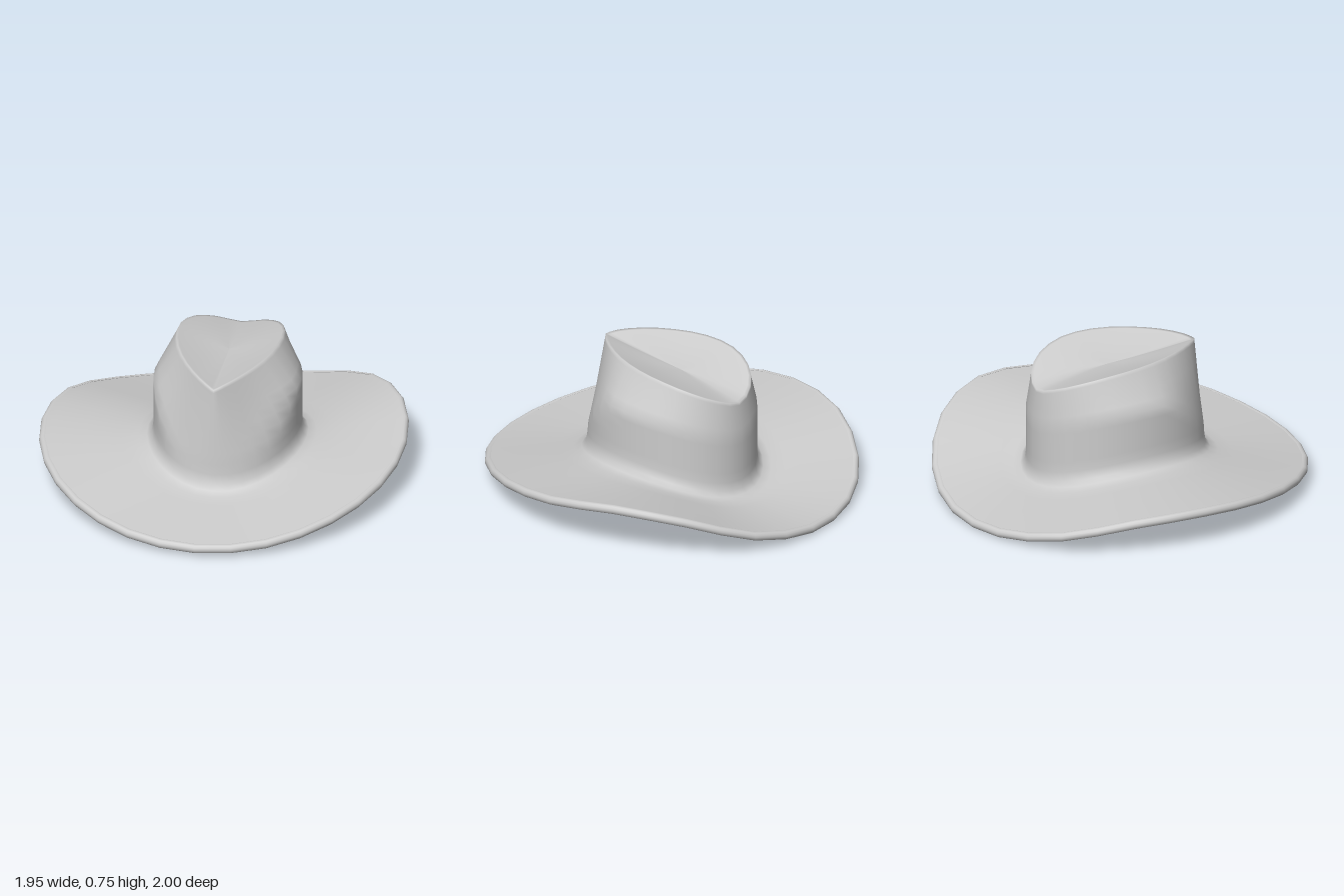
import * as THREE from 'three';

const N = 32; // columns around the hat; angle 0 is the front (+z), growing toward +x
const { lerp, smoothstep, clamp } = THREE.MathUtils;

// Heights around a loop, one value every 22.5 degrees
const EDGE_Y = [.04, .06, .115, .175, .23, .275, .225, .1, .03, .03, .09, .18, .2, .165, .11, .06];
const RIM_HALF = [.69, .705, .72, .73, .735, .725, .69, .64, .6];
const RIM_Y = [...RIM_HALF, ...RIM_HALF.slice(1, 8).reverse()];

// Smooth periodic interpolation of such a list
function around(list, a) {
  const n = list.length, f = a / (2 * Math.PI) * n, i = Math.floor(f), t = f - i;
  const [p, q, r, s] = [-1, 0, 1, 2].map(k => list[(i + k + n) % n]);
  return q + .5 * t * (r - p + t * (2 * p - 5 * q + 4 * r - s + t * (3 * (q - r) + s - p)));
}

const baseY = a => .09 + .015 * Math.cos(a) + .095 * Math.sin(a) ** 2;
const base = a => new THREE.Vector3(.015 + .39 * Math.sin(a), baseY(a), -.02 + .49 * Math.cos(a));

// Teardrop rim of the crown, pointed at the front
const rim = a => new THREE.Vector3(
  .012 + .335 * Math.sin(a) * Math.sin(a / 2) ** .6, around(RIM_Y, a), -.02 + .47 * Math.cos(a));

// Point on the rolled brim edge, shrunk inward by inset
const edge = (a, inset) => new THREE.Vector3(
  -.003 + (.975 - inset) * Math.sin(a), around(EDGE_Y, a), (1 - inset) * Math.cos(a));

// Sunken top panel: s runs from the centre to the rim
const topRing = s => a => {
  const r = rim(a);
  return new THREE.Vector3(lerp(.012, r.x, s), lerp(.655, r.y, s ** 1.4), lerp(-.08, r.z, s));
};

// Crown wall: h runs from the base oval to the rim; the pinch starts lower at the front
const wallRing = h => a => {
  const b = base(a), r = rim(a);
  const off = Math.min(a, 2 * Math.PI - a);
  const start = lerp(.2, .64, smoothstep(off, .5, 1.4));
  const w = clamp((h - start) / (1 - start), 0, 1);
  return new THREE.Vector3(lerp(b.x, r.x, w), lerp(b.y, r.y, h), lerp(b.z, r.z, w));
};

// Brim: t runs from the crown to the rolled edge, lift shapes the fillet
const brimRing = (t, lift = 0) => a => {
  const p = base(a).lerp(edge(a, .022), t);
  p.y += lift;
  return p;
};

// Skin between consecutive rings, listed outward
function skin(name, rings, material) {
  const pos = [], index = [];
  rings.forEach((ring, i) => {
    for (let j = 0; j < N; j++) {
      pos.push(...ring(j / N * 2 * Math.PI).toArray());
      if (i === 0) continue;
      const k = (j + 1) % N, o = (i - 1) * N;
      index.push(o + j, o + N + j, o + N + k, o + j, o + N + k, o + k);
    }
  });
  const geometry = new THREE.BufferGeometry();
  geometry.setAttribute('position', new THREE.Float32BufferAttribute(pos, 3));
  geometry.setIndex(index);
  geometry.computeVertexNormals();
  const mesh = new THREE.Mesh(geometry, material);
  mesh.name = name;
  return mesh;
}

// Shift a ring vertically and shrink it about the crown axis
const offset = (ring, dy, scale = 1) => a => {
  const p = ring(a);
  return p.set(.012 + (p.x - .012) * scale, p.y + dy, -.02 + (p.z + .02) * scale);
};

export function createModel() {
  const group = new THREE.Group();
  group.name = 'hat';
  const felt = new THREE.MeshStandardMaterial({ color: 0xcccccc, side: THREE.DoubleSide });

  const crown = [
    ...[.001, .3, .6, .85, .96].map(topRing),
    ...[1, .97, .9, .8, .72, .64, .55, .45, .35, .25, .15].map(wallRing),
  ];
  const fillet = [brimRing(.015, .035), brimRing(.06, .012)];
  const brim = [.14, .28, .45, .62, .8, .92, 1].map(t => brimRing(t));

  // Outer felt: crown flowing into the top of the brim
  group.add(skin('crownAndBrimTop',
    [...crown, ...fillet, ...brim].map(r => offset(r, .016)), felt));

  // Hollow inside of the crown and underside of the brim
  const inner = [
    ...crown.map(r => offset(r, -.02, .95)),
    ...fillet.map(r => offset(r, -.016, .97)),
    ...brim.map(r => offset(r, -.016)),
  ];
  group.add(skin('liningAndBrimUnderside', inner.reverse(), felt));

  // Rolled edge of the brim
  const roll = [];
  for (let k = 0; k <= 8; k++) {
    const q = lerp(2.0, -2.0, k / 8);
    roll.push(a => {
      const p = edge(a, .022 - .022 * Math.cos(q));
      p.y += .025 * Math.sin(q);
      return p;
    });
  }
  group.add(skin('brimEdge', roll, felt));

  // Stand the hat on the ground
  group.position.y = -new THREE.Box3().setFromObject(group).min.y;
  return group;
}
